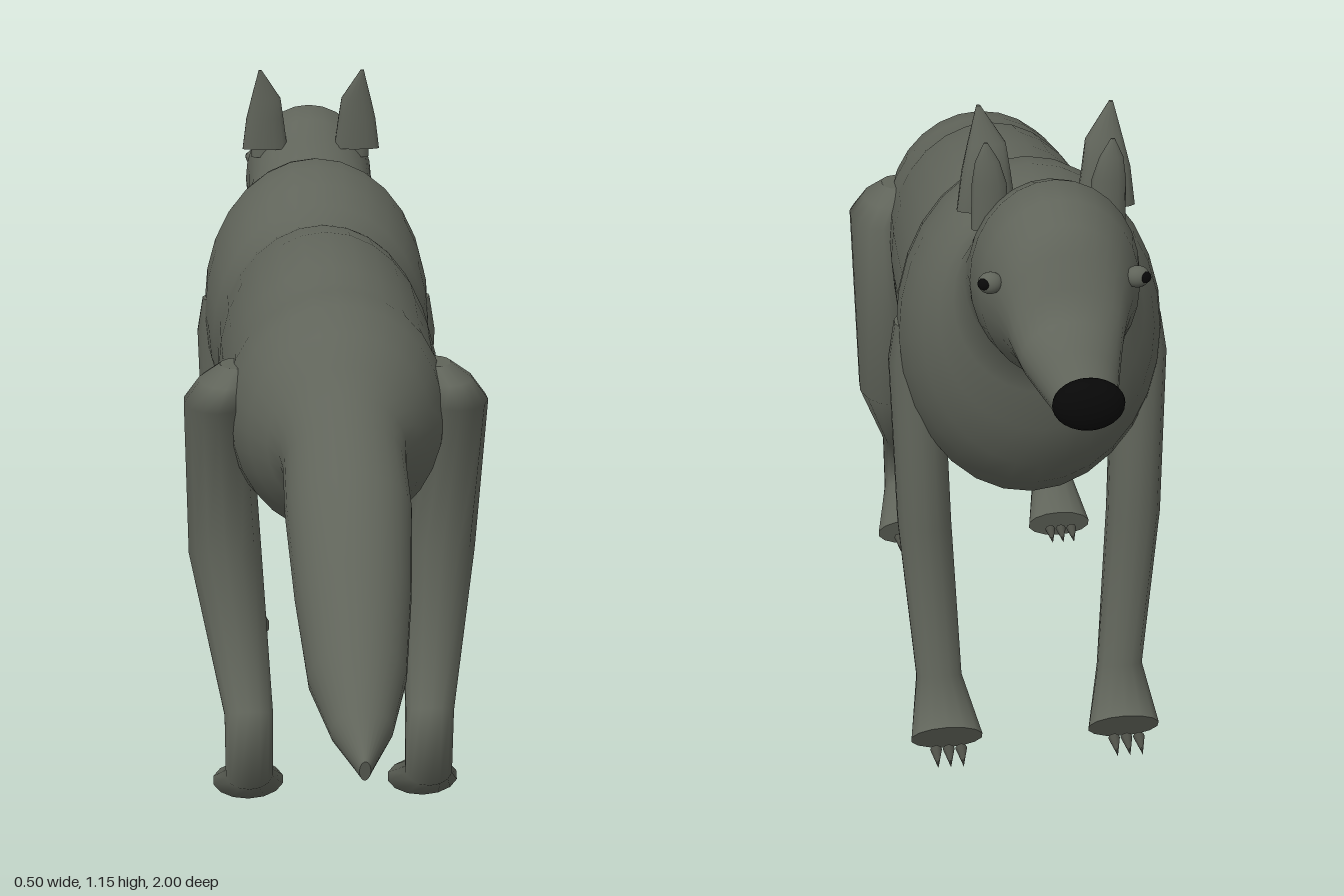
import * as THREE from 'three';

const mat = (name, color) => {
  const m = new THREE.MeshStandardMaterial({ color });
  m.name = name;
  return m;
};

// Skin of elliptical rings. Each section is [zA, yA, zB, yB, xCentre, halfWidth],
// where A and B are opposite points of the ring in the side plane.
function loft(sections, sides) {
  const pos = [], index = [];
  const ring = ([za, ya, zb, yb, xc, hw]) => {
    for (let j = 0; j < sides; j++) {
      const t = (j / sides) * Math.PI * 2, c = Math.cos(t) / 2;
      pos.push(xc + Math.sin(t) * hw, (ya + yb) / 2 + c * (ya - yb), (za + zb) / 2 + c * (za - zb));
    }
  };
  sections.forEach(ring);
  for (let i = 0; i < sections.length - 1; i++) {
    for (let j = 0; j < sides; j++) {
      const a = i * sides + j, b = i * sides + ((j + 1) % sides);
      index.push(a, b, b + sides, a, b + sides, a + sides);
    }
  }
  // End caps with their own vertices, so their edges stay sharp
  [sections[0], sections[sections.length - 1]].forEach((s, end) => {
    const base = pos.length / 3;
    ring(s);
    pos.push(s[4], (s[1] + s[3]) / 2, (s[0] + s[2]) / 2);
    for (let j = 0; j < sides; j++) {
      const a = base + j, b = base + ((j + 1) % sides);
      index.push(base + sides, end ? a : b, end ? b : a);
    }
  });
  const g = new THREE.BufferGeometry();
  g.setAttribute('position', new THREE.Float32BufferAttribute(pos, 3));
  g.setIndex(index);
  g.computeVertexNormals();
  return g;
}

// Rings along the spine from tail tip to snout: [zTop, top, zBottom, bottom, halfWidth]
const tail = [
  [1, 0.362, 0.99, 0.33, 0.008], [0.945, 0.415, 0.91, 0.338, 0.045],
  [0.87, 0.487, 0.797, 0.35, 0.072], [0.78, 0.58, 0.69, 0.44, 0.087],
  [0.674, 0.685, 0.57, 0.532, 0.097], [0.56, 0.735, 0.5, 0.575, 0.096],
];
const trunk = [
  [0.505, 0.763, 0.475, 0.568, 0.101], [0.47, 0.8, 0.455, 0.55, 0.119],
  [0.42, 0.843, 0.42, 0.522, 0.148], [0.36, 0.875, 0.36, 0.493, 0.172],
  [0.29, 0.885, 0.29, 0.48, 0.183], [0.235, 0.887, 0.235, 0.472, 0.182],
  [0.19, 0.905, 0.19, 0.458, 0.183], [0.1, 0.92, 0.1, 0.447, 0.188],
  [0, 0.93, 0, 0.44, 0.19], [-0.1, 0.925, -0.1, 0.445, 0.19],
  [-0.16, 0.917, -0.18, 0.457, 0.19],
];
const chest = [
  [-0.2, 0.945, -0.22, 0.447, 0.198], [-0.24, 0.978, -0.27, 0.437, 0.206],
  [-0.3, 1, -0.34, 0.438, 0.212], [-0.36, 1.007, -0.41, 0.46, 0.212],
  [-0.41, 1, -0.47, 0.505, 0.2], [-0.45, 0.99, -0.52, 0.56, 0.182],
  [-0.475, 0.987, -0.552, 0.635, 0.16], [-0.5, 0.99, -0.566, 0.705, 0.139],
];
const head = [
  [-0.53, 1.015, -0.578, 0.763, 0.124], [-0.575, 1.054, -0.615, 0.774, 0.123],
  [-0.64, 1.074, -0.655, 0.778, 0.126], [-0.7, 1.064, -0.7, 0.787, 0.117],
  [-0.74, 1.04, -0.74, 0.805, 0.1], [-0.768, 1.005, -0.768, 0.81, 0.088],
  [-0.786, 0.96, -0.786, 0.812, 0.08], [-0.815, 0.922, -0.815, 0.814, 0.072],
  [-0.89, 0.908, -0.89, 0.815, 0.056], [-0.955, 0.896, -0.955, 0.82, 0.043],
];

export function createModel() {
  const fur = mat('fur', 0x60645a);
  const black = mat('black', 0x080808);
  const claw = mat('claw', 0x4c4e46);
  const model = new THREE.Group();
  model.name = 'animal';

  const add = (name, geometry, material) => {
    const m = new THREE.Mesh(geometry, material);
    m.name = name;
    model.add(m);
    return m;
  };
  const ball = (name, material, [x, y, z], [rx, ry, rz]) => {
    const m = add(name, new THREE.SphereGeometry(1, 24, 16), material);
    m.position.set(x, y, z);
    m.scale.set(rx, ry, rz);
  };

  // One continuous skin from tail to snout
  const spine = [...tail, ...trunk, ...chest, ...head];
  add('body', loft(spine.map(([za, top, zb, bottom, hw]) => [za, top, zb, bottom, 0, hw]), 28), fur);
  ball('nose', black, [0, 0.866, -0.972], [0.05, 0.037, 0.028]);

  for (const [label, s] of [['left', 1], ['right', -1]]) {
    const limb = (name, rows, sides) =>
      add(`${label} ${name}`, loft(rows.map(([a, b, c, d, x, w]) => [a, b, c, d, x * s, w]), sides), fur);

    limb('hind leg', [
      [0.25, 0.765, 0.33, 0.765, 0.165, 0.025], [0.215, 0.74, 0.365, 0.74, 0.18, 0.045],
      [0.195, 0.705, 0.388, 0.705, 0.195, 0.056], [0.107, 0.393, 0.245, 0.42, 0.184, 0.064],
      [0.372, 0.18, 0.433, 0.212, 0.15, 0.041], [0.368, 0.105, 0.422, 0.07, 0.15, 0.04],
      [0.283, 0.063, 0.305, 0.002, 0.15, 0.061],
    ], 14);
    limb('front leg', [
      [-0.39, 0.745, -0.305, 0.745, 0.182, 0.035], [-0.4, 0.68, -0.3, 0.68, 0.183, 0.045],
      [-0.422, 0.4, -0.328, 0.4, 0.175, 0.045], [-0.415, 0.122, -0.364, 0.105, 0.155, 0.039],
      [-0.49, 0.07, -0.45, 0.006, 0.15, 0.061],
    ], 14);

    // Claws set just ahead of each paw
    for (const [paw, z] of [['hind', 0.248], ['front', -0.52]]) {
      for (let i = -1; i <= 1; i++) {
        const c = add(`${label} ${paw} claw`, new THREE.ConeGeometry(0.01, 0.042, 8), claw);
        c.position.set(s * (0.15 + i * 0.021), 0.03, z);
        c.rotation.x = -Math.PI / 2 - 0.25;
      }
    }

    // Ear shell with a smaller inner fold in front of it
    limb('ear', [
      [-0.527, 1, -0.567, 1, 0.09, 0.045], [-0.524, 1.06, -0.566, 1.06, 0.09, 0.037],
      [-0.522, 1.1, -0.55, 1.1, 0.088, 0.029], [-0.522, 1.155, -0.53, 1.155, 0.099, 0.003],
    ], 14);
    limb('inner ear', [
      [-0.56, 0.98, -0.592, 0.98, 0.088, 0.028], [-0.562, 1.05, -0.592, 1.05, 0.089, 0.026],
      [-0.57, 1.085, -0.588, 1.085, 0.092, 0.018], [-0.575, 1.113, -0.58, 1.113, 0.094, 0.003],
    ], 12);

    // Eye with a dark pupil facing forward and outward
    ball(`${label} eye`, fur, [s * 0.106, 0.956, -0.737], [0.018, 0.016, 0.015]);
    ball(`${label} pupil`, black, [s * 0.115, 0.957, -0.743], [0.01, 0.009, 0.01]);
  }
  return model;
}
